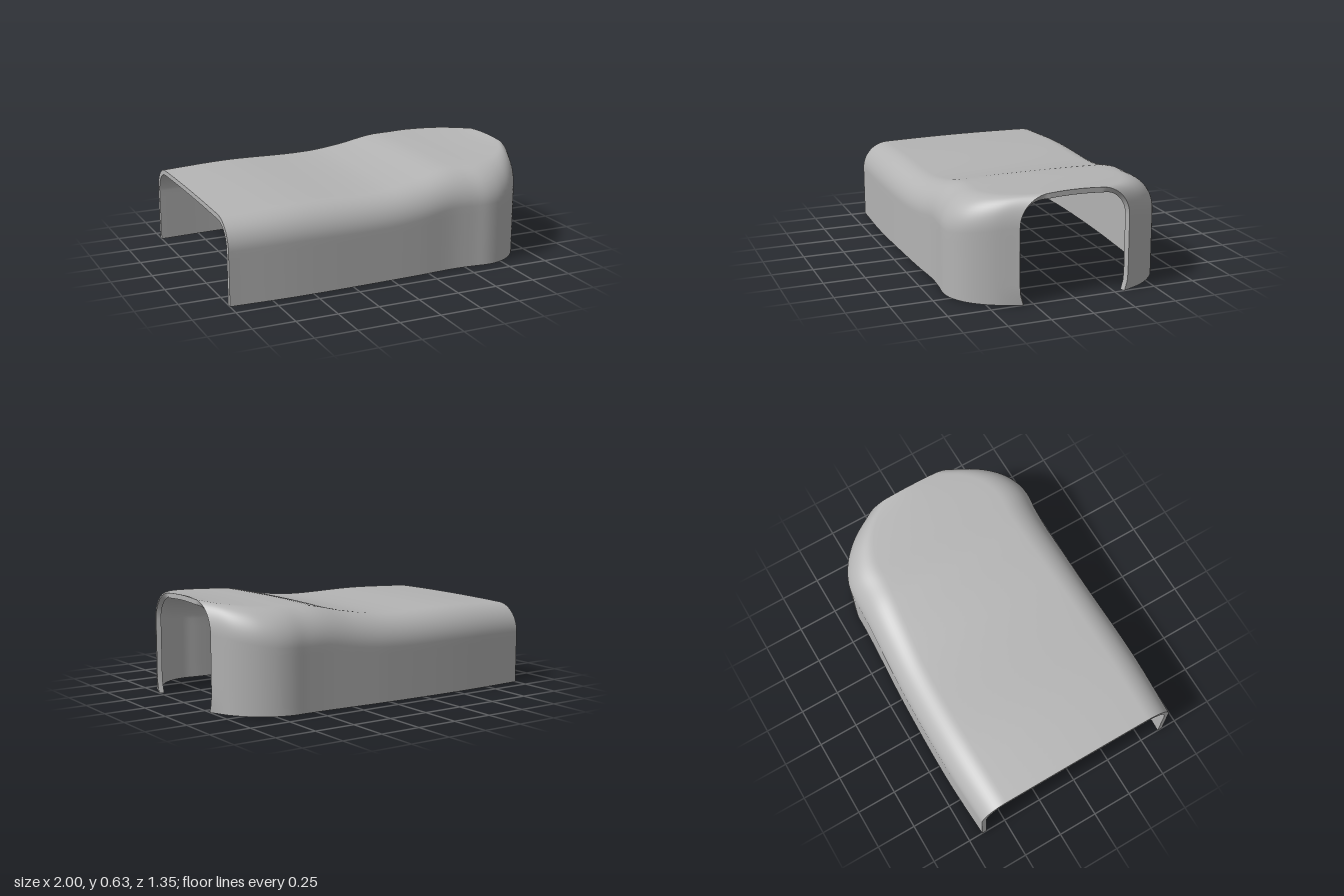
import * as THREE from 'three';

const THICK = 0.03;
// Stations along the hood: x, half width at +z, half width at -z, roof height, shoulder radius
const stations = [
  [-1, 0.655, 0.66, 0.495, 0.17],
  [-0.6, 0.67, 0.677, 0.511, 0.18],
  [0, 0.66, 0.667, 0.512, 0.18],
  [0.2, 0.653, 0.656, 0.54, 0.19],
  [0.42, 0.641, 0.643, 0.585, 0.2],
  [0.55, 0.648, 0.638, 0.594, 0.21],
  [0.66, 0.659, 0.634, 0.598, 0.21],
  [0.75, 0.642, 0.607, 0.603, 0.21],
  [0.85, 0.578, 0.542, 0.611, 0.2],
  [0.93, 0.475, 0.453, 0.62, 0.19],
  [1, 0.33, 0.33, 0.633, 0.18],
];
const SIDE = 8, ARC = 14, ROOF = 8, STEPS = 72;

// One half of the arch, from the foot of the wall to the middle of the roof
function halfArch(x, w, h, r, sign) {
  const crown = 0.006, top = h - crown, pts = [];
  const add = (z, y) => {
    const flare = 0.02 * Math.max(0, 1 - y / 0.07) * Math.max(0, (x - 0.95) / 0.05);
    pts.push(new THREE.Vector3(x, y, sign * (z - flare)));
  };
  for (let i = 0; i < SIDE; i++) add(w, (top - r) * i / SIDE);
  for (let i = 0; i < ARC; i++) {
    const a = (i / ARC) * Math.PI / 2;
    add(w - r + r * Math.cos(a), top - r + r * Math.sin(a));
  }
  for (let i = 0; i <= ROOF; i++) {
    const k = 1 - i / ROOF;
    add((w - r) * k, h - crown * k * k);
  }
  return pts;
}

// Surface through rows of points
function skin(rows) {
  const n = rows[0].length, index = [];
  for (let i = 0; i < rows.length - 1; i++) {
    for (let j = 0; j < n - 1; j++) {
      const a = i * n + j, b = a + n;
      index.push(a, b, a + 1, b, b + 1, a + 1);
    }
  }
  const g = new THREE.BufferGeometry().setFromPoints(rows.flat());
  g.setIndex(index);
  g.computeVertexNormals();
  return g;
}

export function createModel() {
  const group = new THREE.Group();
  group.name = 'hood';
  const grey = new THREE.MeshStandardMaterial({ color: 0xb4b4b4 });
  grey.name = 'grey';
  const add = (name, rows) => {
    const mesh = new THREE.Mesh(skin(rows), grey);
    mesh.name = name;
    group.add(mesh);
    return mesh;
  };

  const spline = new THREE.CubicInterpolant(
    stations.map(s => s[0]), stations.flatMap(s => s.slice(1)), 4, new Float32Array(4));

  // Outer shell, with sections closer together towards the rounded end
  const outer = [];
  for (let i = 0; i <= STEPS; i++) {
    const x = -1 + 2 * Math.sin((i / STEPS) * Math.PI / 2);
    const [wl, wr, h, r] = spline.evaluate(x);
    const left = halfArch(x, wl, h, r, 1);
    const right = halfArch(x, wr, h, r, -1).reverse();
    outer.push([...left, ...right.slice(1)]);
  }
  const shell = add('outerShell', outer);

  // Inner lining, set in by the wall thickness
  const normals = shell.geometry.attributes.normal;
  const n = outer[0].length;
  const inner = outer.map((row, i) => row.map((p, j) => {
    const q = new THREE.Vector3().fromBufferAttribute(normals, i * n + j);
    q.multiplyScalar(-THICK).add(p);
    q.x = i === 0 ? -1 : THREE.MathUtils.clamp(q.x, -1, 1);
    q.y = j === 0 || j === n - 1 ? 0 : Math.max(0, q.y);
    return q;
  }));
  add('innerLining', [...inner].reverse());

  // Cut edges of the wall
  add('openingRim', [outer[STEPS], inner[STEPS]]);
  add('rearRim', [inner[0], outer[0]]);
  add('leftFoot', outer.map((row, i) => [inner[i][0], row[0]]));
  add('rightFoot', outer.map((row, i) => [row[n - 1], inner[i][n - 1]]));
  return group;
}
